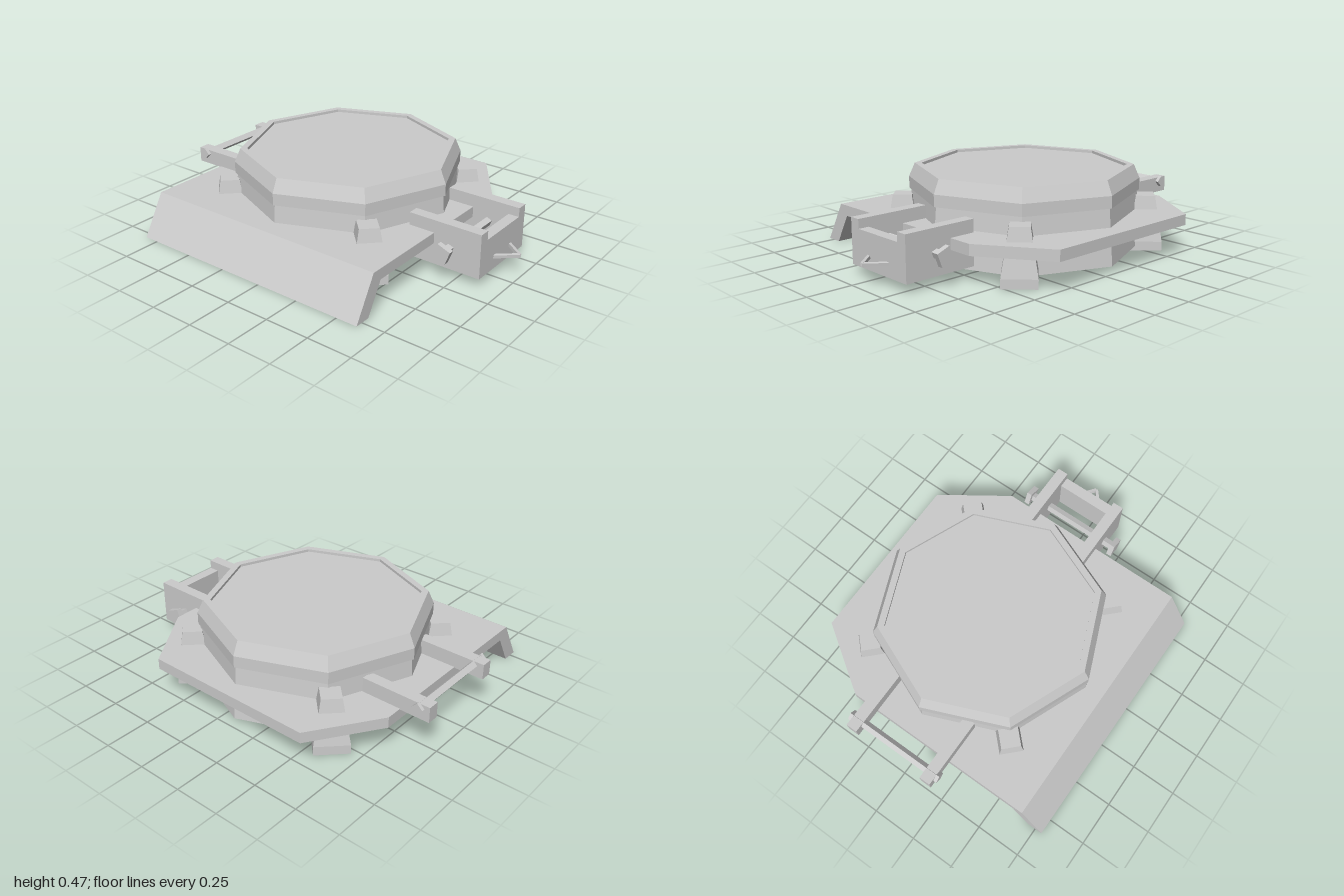
import * as THREE from 'three';

const mat = new THREE.MeshStandardMaterial({ color: 0xcccccc, flatShading: true });
const CX = 0.07, CZ = -0.09; // centre of the octagonal body

function add(parent, name, geo, x = 0, y = 0, z = 0) {
  const mesh = new THREE.Mesh(geo, mat);
  mesh.name = name;
  mesh.position.set(x, y, z);
  parent.add(mesh);
  return mesh;
}

// Box given by its min and max on each axis
function box(parent, name, [x0, x1], [y0, y1], [z0, z1]) {
  return add(parent, name, new THREE.BoxGeometry(x1 - x0, y1 - y0, z1 - z0),
    (x0 + x1) / 2, (y0 + y1) / 2, (z0 + z1) / 2);
}

const points = (list) => list.map(([a, b]) => new THREE.Vector2(a, b));
const lathe = (list, sides) => new THREE.LatheGeometry(points(list), sides);
const extrude = (list, depth) =>
  new THREE.ExtrudeGeometry(new THREE.Shape(points(list)), { depth, bevelEnabled: false });

// Square rod lying along x
function rod(parent, name, [x0, x1], y, z, radius, turn = 0) {
  const geo = new THREE.CylinderGeometry(radius, radius, x1 - x0, 4);
  geo.rotateZ(Math.PI / 2).rotateX(turn);
  return add(parent, name, geo, (x0 + x1) / 2, y, z);
}

// Square rod between two points
function strut(parent, name, a, b, radius) {
  const dir = new THREE.Vector3().subVectors(b, a);
  const mesh = add(parent, name, new THREE.CylinderGeometry(radius, radius, dir.length(), 4));
  mesh.position.addVectors(a, b).multiplyScalar(0.5);
  mesh.quaternion.setFromUnitVectors(new THREE.Vector3(0, 1, 0), dir.normalize());
}

export function createModel() {
  const model = new THREE.Group();
  model.name = 'octagonalPlatform';

  // Octagonal body with a raised belt, sloped rim and shallow recess
  add(model, 'body', lathe([
    [0, 0.025], [0.645, 0.025], [0.618, 0.325], [0.631, 0.325], [0.631, 0.39],
    [0.598, 0.465], [0.56, 0.465], [0.56, 0.45], [0, 0.45],
  ], 8), CX, 0, CZ);

  // Deck plate with two cut corners on its left side
  const deck = extrude([
    [-0.605, -0.835], [0.43, -0.835], [0.79, -0.595],
    [0.79, 0.375], [0.43, 0.62], [-0.605, 0.62],
  ], 0.06);
  deck.rotateX(Math.PI / 2);
  add(model, 'deck', deck, 0, 0.225, 0);

  // Ramp bending from the deck down to the ground
  add(model, 'ramp', extrude([
    [-0.605, 0.225], [-0.66, 0.225], [-0.79, 0], [-0.7, 0], [-0.605, 0.165],
  ], 1.455), 0, 0, -0.835);

  // Tapered feet, set corner-on around the body
  const foot = lathe([[0, 0], [0.13, 0], [0.13, 0.05], [0.074, 0.298], [0, 0.298]], 4);
  for (const sx of [-1, 1]) {
    for (const sz of [-1, 1]) add(model, 'foot', foot, CX + sx * 0.462, 0, CZ + sz * 0.475);
  }

  // Front hitch: two arms, a lower front panel, a cross pin and a hook
  const hitch = new THREE.Group();
  hitch.name = 'frontHitch';
  model.add(hitch);
  for (const s of [-1, 1]) {
    const mid = CX + s * 0.19;
    box(hitch, 'hitchArm', [mid - 0.031, mid + 0.031], [0.05, 0.295], [0.47, 0.89]);
    const cap = CX + s * 0.287;
    rod(hitch, 'pinCap', [cap - 0.015, cap + 0.015], 0.168, 0.715, 0.055, -0.42);
    strut(hitch, 'hook', new THREE.Vector3(CX + s * 0.083, 0.12, 0.885),
      new THREE.Vector3(CX + 0.005, 0.12, 0.987), 0.012);
  }
  box(hitch, 'hitchPanel', [-0.1, 0.24], [0.05, 0.245], [0.83, 0.89]);
  rod(hitch, 'hitchPin', [-0.21, 0.35], 0.168, 0.715, 0.024, -0.42);

  // Rear handle: two arms on the deck joined by a rod
  const handle = new THREE.Group();
  handle.name = 'rearHandle';
  model.add(handle);
  for (const s of [-1, 1]) {
    const mid = CX + s * 0.238;
    box(handle, 'handleArm', [mid - 0.032, mid + 0.032], [0.22, 0.305], [-1, -0.61]);
    const cap = CX + s * 0.279;
    rod(handle, 'handleCap', [cap - 0.01, cap + 0.01], 0.284, -0.94, 0.03);
  }
  rod(handle, 'handleRod', [-0.2, 0.34], 0.284, -0.94, 0.023);

  return model;
}
